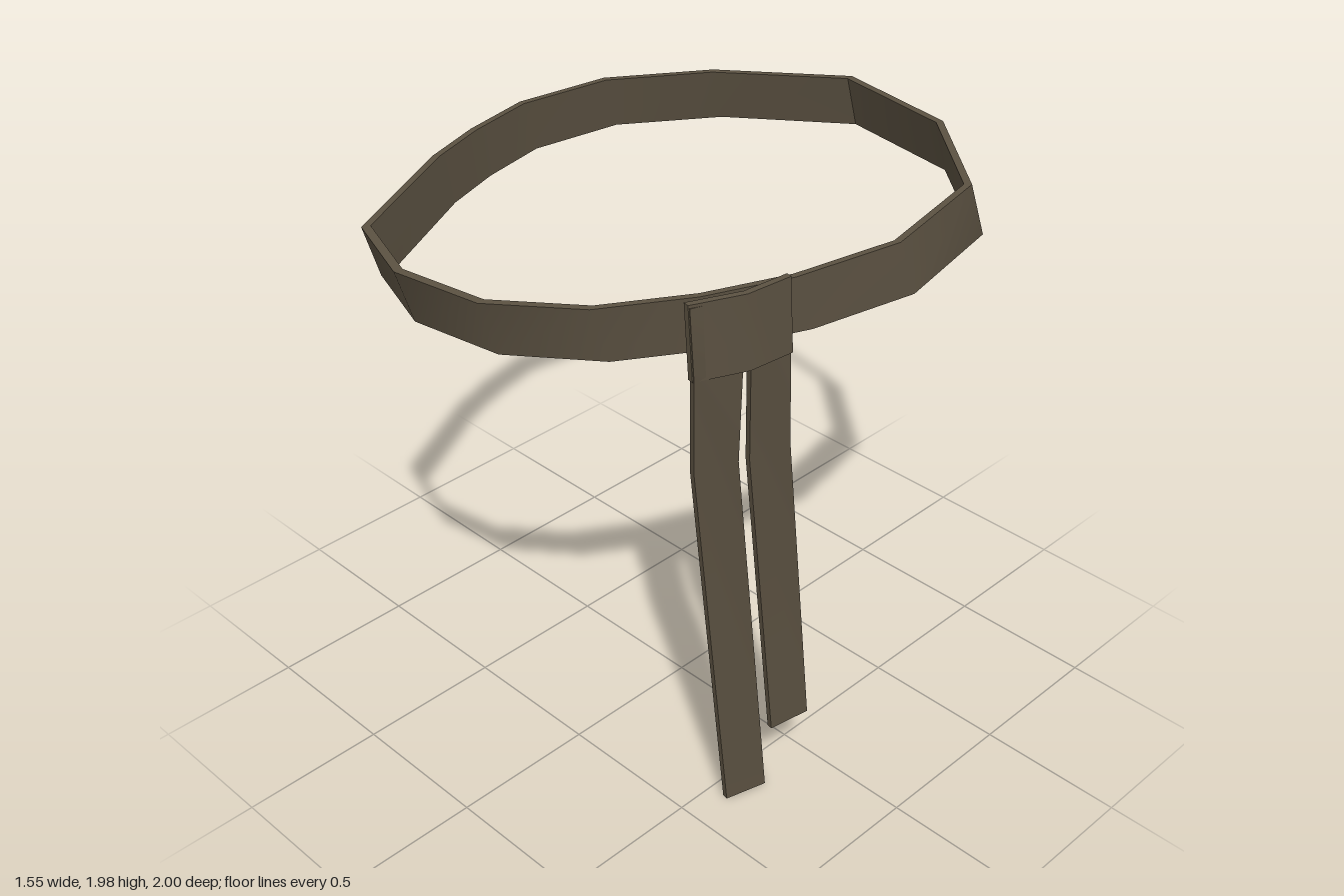
import * as THREE from 'three';
import { toCreasedNormals } from 'three/addons/utils/BufferGeometryUtils.js';

// Joins four-cornered cross-sections into a solid; closed loops need no end caps.
function loft(sections, closed) {
  const tris = [];
  const quad = (a, b, c, d) => tris.push([a, b, c], [a, c, d]);
  const n = sections.length;
  for (let i = 0; i < (closed ? n : n - 1); i++) {
    const s = sections[i], t = sections[(i + 1) % n];
    for (let k = 0; k < 4; k++) {
      const m = (k + 1) % 4;
      quad(s[k], s[m], t[m], t[k]);
    }
  }
  if (!closed) {
    const [a, b, c, d] = sections[0];
    quad(d, c, b, a);
    quad(...sections[n - 1]);
  }
  // Turn all faces outward if the solid came out inverted
  const volume = tris.reduce((sum, [a, b, c]) => {
    const [A, B, C] = [a, b, c].map((p) => new THREE.Vector3(...p));
    return sum + A.dot(B.cross(C));
  }, 0);
  const pos = tris.flatMap((t) => (volume < 0 ? [t[0], t[2], t[1]] : t)).flat();
  const geo = new THREE.BufferGeometry();
  geo.setAttribute('position', new THREE.Float32BufferAttribute(pos, 3));
  return toCreasedNormals(geo, 0.7);
}

export function createModel() {
  const group = new THREE.Group();
  const cloth = new THREE.MeshStandardMaterial({ color: 0x5c5242 });
  cloth.name = 'brownCloth';
  const add = (name, geo) => {
    const mesh = new THREE.Mesh(geo, cloth);
    mesh.name = name;
    group.add(mesh);
  };

  // Waistband: outer top edge as x, z; the lower edge is wider and set back
  const loop = [
    [-0.13, -0.94], [0.315, -0.87], [0.665, -0.57], [0.752, -0.13], [0.68, 0.23],
    [0.57, 0.5], [0.41, 0.76], [0.17, 0.95], [-0.13, 1.0], [-0.41, 0.9],
    [-0.64, 0.45], [-0.71, 0.24], [-0.76, -0.01], [-0.71, -0.34], [-0.5, -0.65],
  ];
  const inset = 0.972;
  add('waistband', loft(loop.map(([x, z]) => {
    const bx = x * 1.022, bz = z - 0.06;
    return [
      [x, 1.95, z],
      [bx, 1.765, bz],
      [bx * inset, 1.765, bz * inset],
      [x * inset, 1.95, z * inset],
    ];
  }), true));

  // Hanging straps: rows of y, front x, front z, back x, back z
  const strap = (rows) => loft(rows.map(([y, fx, fz, bx, bz]) => [
    [fx + 0.01, y, fz + 0.002],
    [bx + 0.01, y, bz + 0.002],
    [bx - 0.01, y, bz - 0.002],
    [fx - 0.01, y, fz - 0.002],
  ]), false);
  add('longStrap', strap([
    [1.97, 0.612, 0.59, 0.662, 0.45],
    [1.74, 0.612, 0.573, 0.662, 0.43],
    [1.38, 0.572, 0.53, 0.61, 0.385],
    [0, 0.566, 0.363, 0.605, 0.22],
  ]));
  add('shortStrap', strap([
    [1.97, 0.668, 0.435, 0.684, 0.29],
    [1.74, 0.668, 0.405, 0.688, 0.263],
    [1.38, 0.628, 0.358, 0.655, 0.212],
    [0.26, 0.628, 0.223, 0.653, 0.077],
  ]));

  // Folded keeper over the strap tops, bowed outward
  const bow = [[0.618, 0.595], [0.687, 0.435], [0.703, 0.28]];
  add('keeper', loft(bow.map(([x, z]) => [
    [x, 1.98, z],
    [x, 1.73, z - 0.018],
    [x - 0.02, 1.73, z - 0.022],
    [x - 0.02, 1.98, z - 0.004],
  ]), false));

  return group;
}
